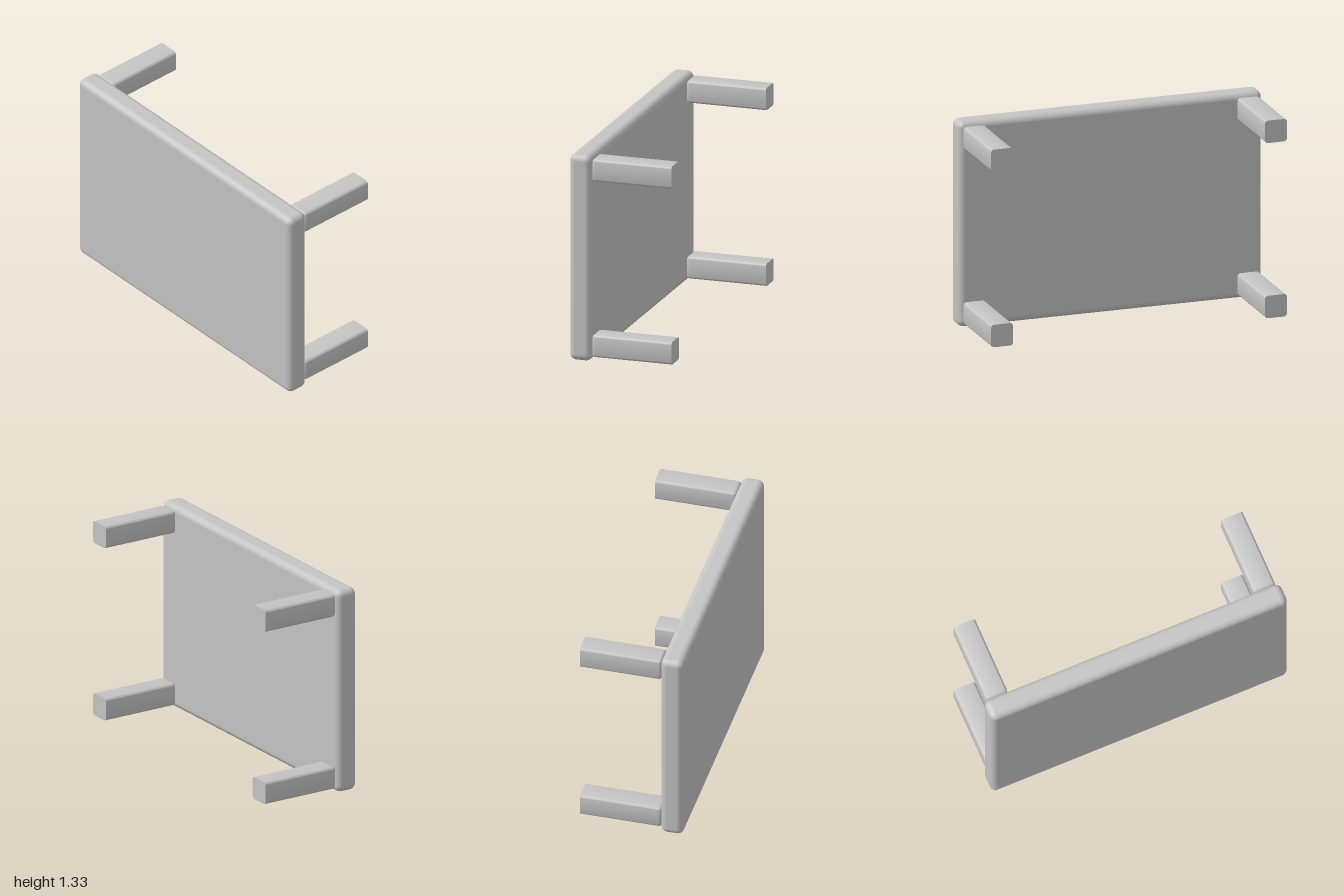
import * as THREE from 'three';
import { toCreasedNormals } from 'three/addons/utils/BufferGeometryUtils.js';
import { RoundedBoxGeometry } from 'three/addons/geometries/RoundedBoxGeometry.js';

const WIDTH = 2, HEIGHT = 1.333, BACK = -0.333, FRONT = 0.333;
const THICK = 0.145, LEG = 0.146, INSET = 0.098; // inset: slab edge to leg centre

// Square leg along z: rounded long edges and top end, flat sharp foot
function legGeometry() {
  const r = 0.022, top = FRONT - THICK + 0.003;
  const length = top - BACK + r;
  const geo = new RoundedBoxGeometry(LEG, LEG, length, 4, r);
  geo.translate(0, 0, top - length / 2);
  const pos = geo.attributes.position;
  for (let i = 0; i < pos.count; i++) pos.setZ(i, Math.max(pos.getZ(i), BACK));
  return toCreasedNormals(geo, 0.7);
}

export function createModel() {
  const table = new THREE.Group();
  table.name = 'tippedTable';
  const grey = new THREE.MeshStandardMaterial({ color: 0xc4c4c4 });
  grey.name = 'light grey';

  // Tabletop standing on its long edge
  const tabletop = new THREE.Mesh(new RoundedBoxGeometry(WIDTH, HEIGHT, THICK, 5, 0.042), grey);
  tabletop.name = 'tabletop';
  tabletop.position.set(0, HEIGHT / 2, FRONT - THICK / 2);
  table.add(tabletop);

  // Four legs pointing backwards
  const legGeo = legGeometry();
  for (const [side, sx] of [['left', 1], ['right', -1]]) {
    for (const [level, y] of [['Lower', INSET], ['Upper', HEIGHT - INSET]]) {
      const leg = new THREE.Mesh(legGeo, grey);
      leg.name = `${side}${level}Leg`;
      leg.position.set(sx * (WIDTH / 2 - INSET), y, 0);
      table.add(leg);
    }
  }
  return table;
}
